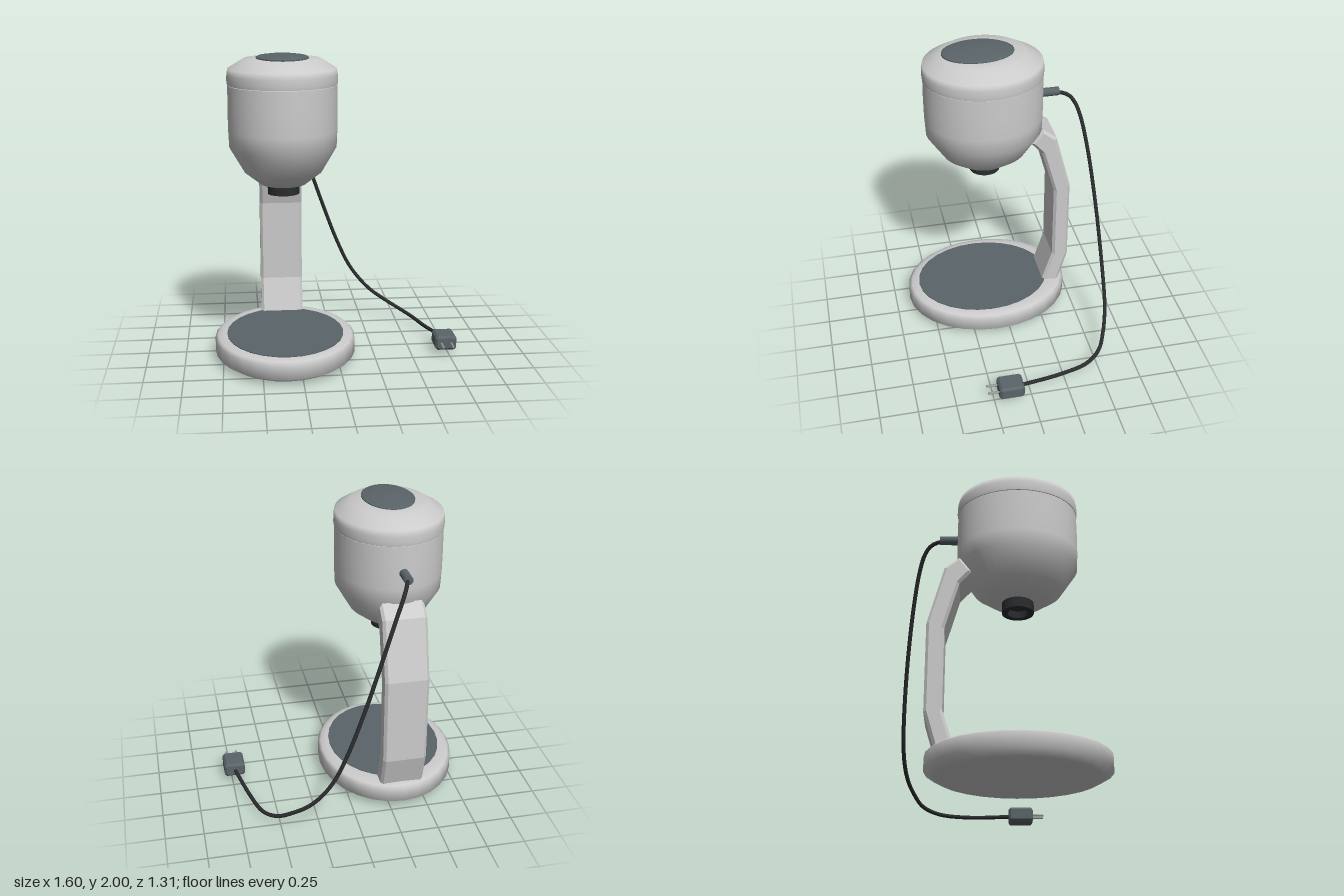
import * as THREE from 'three';

const CX = -0.339, CZ = 0.087; // axis of head and base

function mat(color) {
  return new THREE.MeshStandardMaterial({ color });
}
const GREY = mat(0xcccccc), SLATE = mat(0x5a6468), BLACK = mat(0x2a2c2e), METAL = mat(0x9a9a9a);

function add(group, name, geometry, material) {
  const mesh = new THREE.Mesh(geometry, material);
  mesh.name = name;
  group.add(mesh);
  return mesh;
}

// Oval turned shape: profile of [radius, y], stretched along z
function oval(profile, stretch, segments = 40, cz = CZ) {
  const g = new THREE.LatheGeometry(profile.map(([r, y]) => new THREE.Vector2(r, y)), segments);
  return g.scale(1, 1, stretch).translate(CX, 0, cz);
}

// Outline pushed along z with single chamfers, kept inside the given size
function chamfered(points, depth, c) {
  const shape = new THREE.Shape(points.map(([x, y]) => new THREE.Vector2(x, y)));
  return new THREE.ExtrudeGeometry(shape, {
    depth: depth - 2 * c, bevelEnabled: true, bevelSegments: 1,
    bevelSize: c, bevelThickness: c, bevelOffset: -c,
  }).translate(0, 0, -(depth / 2 - c));
}

export function createModel() {
  const root = new THREE.Group();
  root.name = 'standMixer';

  // Base: rounded oval slab with a thin flat tray plate
  add(root, 'base', oval([
    [0, 0], [0.36, 0], [0.41, 0.008], [0.463, 0.045], [0.463, 0.135],
    [0.445, 0.153], [0.41, 0.164], [0.37, 0.165], [0, 0.165],
  ], 0.567 / 0.463, 28), GREY);
  add(root, 'tray', oval([
    [0.385, 0.16], [0.385, 0.169], [0.385, 0.169], [0, 0.169],
  ], 0.466 / 0.385, 28, 0.114), SLATE);

  // Arm: bent bar with chamfered edges
  const arm = add(root, 'arm', chamfered([
    [-0.286, 1.43], [-0.206, 1.33], [-0.284, 1.243], [-0.372, 0.93], [-0.372, 0.39],
    [-0.3, 0.16], [-0.275, 0.08], [-0.39, 0.08], [-0.42, 0.16], [-0.484, 0.376],
    [-0.484, 0.963], [-0.38, 1.354],
  ], 0.29, 0.018), GREY);
  arm.rotation.y = -Math.PI / 2;
  arm.position.x = CX;

  // Head, lid and top plate
  const headStretch = 0.395 / 0.351;
  add(root, 'head', oval([
    [0, 1.17], [0.148, 1.17], [0.25, 1.25], [0.343, 1.41],
    [0.348, 1.52], [0.349, 1.65], [0.347, 1.805], [0.347, 1.805], [0.32, 1.812],
  ], headStretch), GREY);
  add(root, 'lid', oval([
    [0.33, 1.808], [0.349, 1.808], [0.349, 1.808], [0.352, 1.83], [0.351, 1.87], [0.345, 1.908],
    [0.245, 1.97], [0.16, 1.976], [0, 1.98],
  ], headStretch), GREY);
  add(root, 'topPlate', oval([
    [0.167, 1.962], [0.167, 1.98], [0.167, 1.98], [0.155, 1.988], [0.1, 1.996], [0, 2],
  ], 1.4, 40, 0.118), SLATE);

  // Hollow drive socket below the head
  add(root, 'socket', oval([
    [0, 1.15], [0.065, 1.15], [0.065, 1.15], [0.065, 1.102], [0.065, 1.102], [0.102, 1.102],
    [0.102, 1.102], [0.102, 1.175],
  ], 1, 24), BLACK);

  // Cord sleeve and cord
  const sleeve = add(root, 'cordSleeve', new THREE.CylinderGeometry(0.029, 0.029, 0.15, 16), SLATE);
  sleeve.rotation.x = Math.PI / 2;
  sleeve.position.set(-0.34, 1.632, -0.345);

  const path = new THREE.CatmullRomCurve3([
    [-0.34, 1.63, -0.38], [-0.328, 1.626, -0.43], [-0.308, 1.61, -0.48], [-0.28, 1.56, -0.52],
    [-0.24, 1.47, -0.55], [-0.16, 1.25, -0.587], [-0.04, 0.9, -0.622], [0.08, 0.58, -0.64],
    [0.17, 0.39, -0.643], [0.25, 0.28, -0.635], [0.33, 0.2, -0.615], [0.42, 0.14, -0.58],
    [0.52, 0.085, -0.525], [0.6, 0.055, -0.42], [0.66, 0.05, -0.22], [0.73, 0.077, 0.07],
  ].map((p) => new THREE.Vector3(...p)));
  add(root, 'cord', new THREE.TubeGeometry(path, 90, 0.013, 10), BLACK);

  // Plug with two prongs
  const plug = new THREE.Group();
  plug.name = 'plug';
  plug.position.set(0.73, 0.079, 0.137);
  add(plug, 'plugBody', chamfered(
    [[-0.055, -0.048], [0.055, -0.048], [0.07, -0.033], [0.07, 0.033],
      [0.055, 0.048], [-0.055, 0.048], [-0.07, 0.033], [-0.07, -0.033]], 0.165, 0.014), SLATE);
  for (const side of [-1, 1]) {
    const prong = add(plug, 'prong', new THREE.CylinderGeometry(0.008, 0.008, 0.1, 10), METAL);
    prong.rotation.x = Math.PI / 2;
    prong.position.set(side * 0.033, 0, 0.105);
  }
  root.add(plug);
  return root;
}
